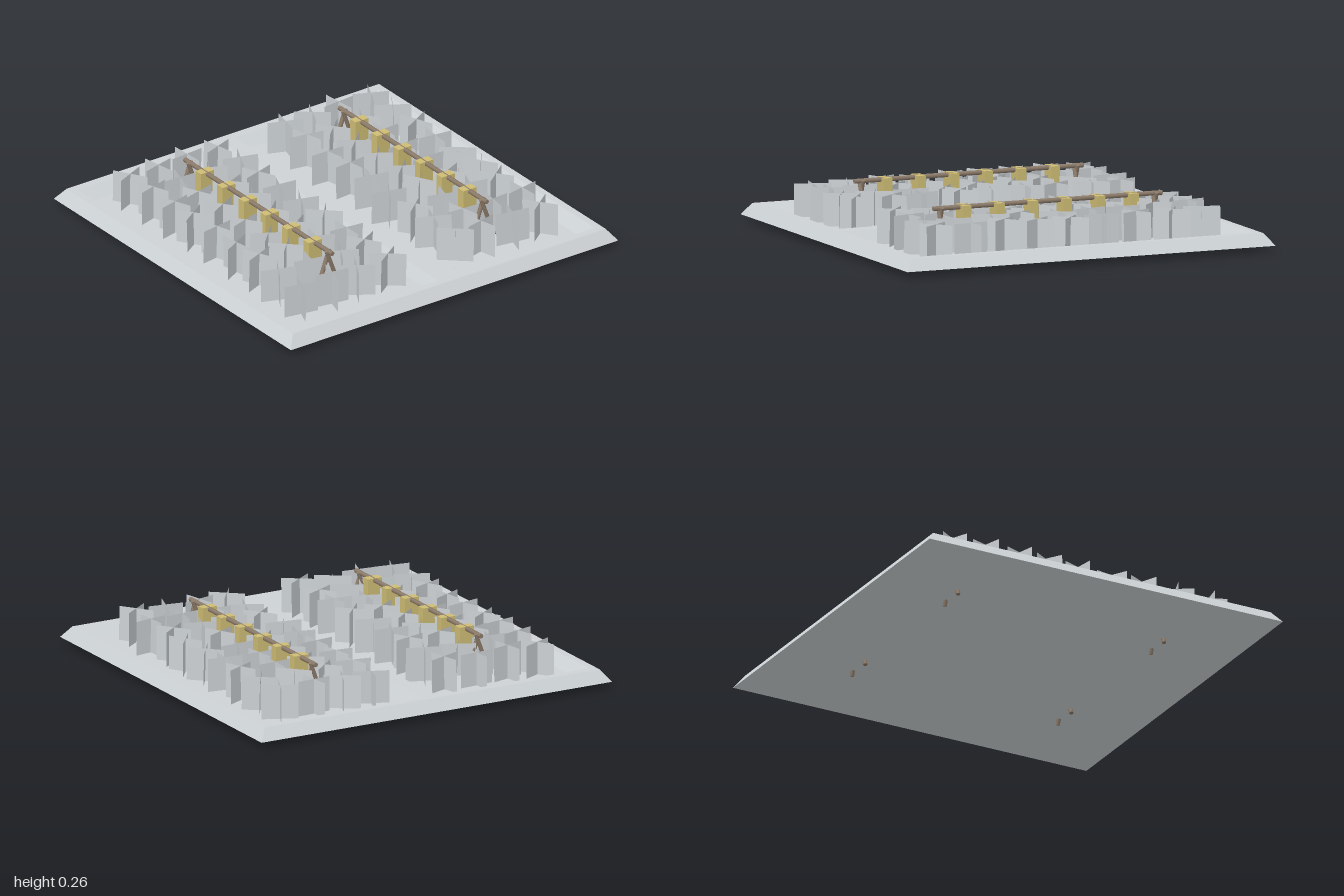
import * as THREE from 'three';

const mat = (name, color, side = THREE.FrontSide) => {
  const m = new THREE.MeshStandardMaterial({ color, side });
  m.name = name;
  return m;
};

// Corner loop of a rectangle, anticlockwise seen from above
const loop = (x0, x1, z, y) => [[x0, y, z], [x1, y, z], [x1, y, -z], [x0, y, -z]];

// Four quads joining two corner loops
const band = (a, b) => a.map((p, i) => [p, a[(i + 1) % 4], b[(i + 1) % 4], b[i]]);

function quadGeometry(quads) {
  const points = quads.flatMap(([a, b, c, d]) => [a, b, c, a, c, d]).flat();
  const g = new THREE.BufferGeometry();
  g.setAttribute('position', new THREE.Float32BufferAttribute(points, 3));
  g.computeVertexNormals();
  return g;
}

// Cylinder between two points
function pole(name, from, to, radius, material) {
  const a = new THREE.Vector3(...from), b = new THREE.Vector3(...to);
  const dir = b.clone().sub(a);
  const mesh = new THREE.Mesh(new THREE.CylinderGeometry(radius, radius, dir.length(), 8), material);
  mesh.position.copy(a).add(b).multiplyScalar(0.5);
  mesh.quaternion.setFromUnitVectors(new THREE.Vector3(0, 1, 0), dir.normalize());
  mesh.name = name;
  return mesh;
}

function seeded(seed) {
  return () => {
    seed = (seed * 16807) % 2147483647;
    return seed / 2147483647;
  };
}

export function createModel() {
  const model = new THREE.Group();
  model.name = 'gardenBeds';
  const stone = mat('paleStone', 0xcdd2d5);
  const leaf = mat('paleLeaf', 0xcdd2d5, THREE.DoubleSide);
  const wood = mat('brownWood', 0x8c7b6a);
  const straw = mat('straw', 0xcdbc74);
  const BASE = 0.03, FLOOR = 0.036, TOP = 0.09;

  // Bevelled frame with two sunken beds
  const outerLow = loop(-1, 1, 1, BASE), outerTop = loop(-0.955, 0.955, 0.955, TOP);
  const beds = [[-0.917, -0.04, -0.865, -0.08], [0.04, 0.917, 0.08, 0.865]];
  const quads = [...band(outerLow, outerTop), [...outerLow].reverse()];
  const floors = [];
  const rim = new THREE.Shape(outerTop.map(([x, , z]) => new THREE.Vector2(x, -z)));
  for (const [x0, x1, f0, f1] of beds) {
    const top = loop(x0, x1, 0.915, TOP), floor = loop(f0, f1, 0.86, FLOOR);
    quads.push(...band(top, floor));
    floors.push(floor);
    rim.holes.push(new THREE.Path(top.map(([x, , z]) => new THREE.Vector2(x, -z))));
  }
  const frame = new THREE.Mesh(quadGeometry(quads), stone);
  frame.name = 'frame';
  const rimMesh = new THREE.Mesh(new THREE.ShapeGeometry(rim).rotateX(-Math.PI / 2), stone);
  rimMesh.position.y = TOP;
  rimMesh.name = 'frameRim';
  const soil = new THREE.Mesh(quadGeometry(floors), stone);
  soil.name = 'soil';
  model.add(frame, rimMesh, soil);

  for (const side of [-1, 1]) {
    const cx = side * 0.472;

    // Rows of plants, each a pair of crossed upright cards
    const rand = seeded(side < 0 ? 4217 : 9871);
    const plants = new THREE.Group();
    plants.name = side < 0 ? 'rightPlants' : 'leftPlants';
    for (let row = 0; row < 9; row++) {
      for (let col = 0; col < 4; col++) {
        const plant = new THREE.Group();
        plant.name = 'plant';
        const height = 0.168 + rand() * 0.012;
        const turn = rand() * Math.PI;
        for (const k of [0, 1]) {
          const card = new THREE.Mesh(new THREE.PlaneGeometry(0.185, height), leaf);
          card.position.y = height / 2;
          card.rotation.y = k * Math.PI / 2 + (rand() - 0.5) * 0.5;
          card.name = 'leafCard';
          plant.add(card);
        }
        plant.position.set(
          cx + (col - 1.5) * 0.178 + (rand() - 0.5) * 0.03,
          FLOOR,
          (row - 4) * 0.18 + (rand() - 0.5) * 0.03
        );
        plant.rotation.set((rand() - 0.5) * 0.04, turn, (rand() - 0.5) * 0.04);
        plants.add(plant);
      }
    }
    model.add(plants);

    // Trellis: ridge pole on crossed legs with hanging bundles
    const trellis = new THREE.Group();
    trellis.name = side < 0 ? 'rightTrellis' : 'leftTrellis';
    trellis.add(pole('ridgePole', [cx, 0.246, -0.622], [cx, 0.246, 0.622], 0.012, wood));
    for (const z of [-0.583, 0.583]) {
      for (const s of [-1, 1]) {
        trellis.add(pole('leg', [cx + s * 0.078, 0.003, z + s * 0.005],
          [cx - s * 0.012, 0.25, z + s * 0.005], 0.011, wood));
      }
    }
    for (let i = 0; i < 6; i++) {
      const bundle = new THREE.Mesh(new THREE.BoxGeometry(0.08, 0.115, 0.046), straw);
      bundle.position.set(cx, 0.199, -0.455 + i * 0.182);
      bundle.name = 'bundle';
      trellis.add(bundle);
    }
    model.add(trellis);
  }
  return model;
}
